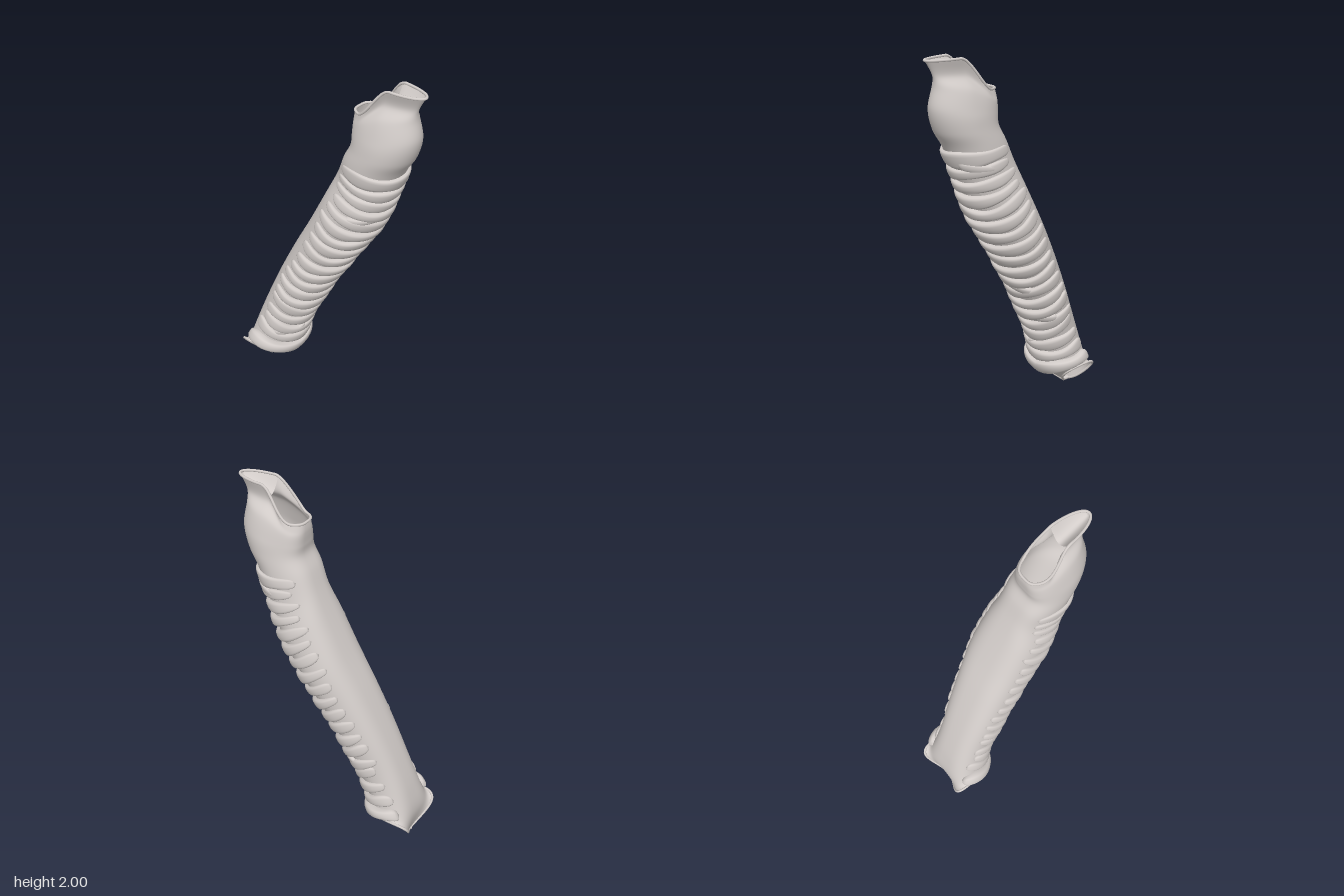
import * as THREE from 'three';
import { mergeVertices } from 'three/addons/utils/BufferGeometryUtils.js';

// Cross-sections from top to bottom:
// front z, front y, back z, back y, right x, left x, front pinch, side lift, step, z swing
const SECTIONS = [
  [0.528, 1.991, 0.142, 1.825, -0.055, 0.13, 0.32, 0, 1, 0],
  [0.49, 1.92, 0.137, 1.79, -0.06, 0.14, 0.5, 0, 0.8, 0],
  [0.483, 1.86, 0.137, 1.76, -0.073, 0.155, 0.12, 0, 0.5, 0],
  [0.5, 1.75, 0.14, 1.71, -0.092, 0.17, 0, 0, 0, 0],
  [0.47, 1.64, 0.14, 1.65, -0.105, 0.18, 0, 0, 0, 0],
  [0.41, 1.54, 0.1, 1.57, -0.108, 0.187, 0, 0, 0, 0],
  [0.335, 1.36, 0.055, 1.46, -0.1, 0.195, 0, 0, 0, 0],
  [0.25, 1.17, -0.01, 1.32, -0.128, 0.22, 0, 0, 0, 0],
  [0.13, 0.97, -0.11, 1.12, -0.137, 0.225, 0, 0, 0, 0],
  [0.01, 0.78, -0.215, 0.92, -0.143, 0.197, 0, 0, 0, 0],
  [-0.11, 0.56, -0.32, 0.7, -0.152, 0.165, 0, 0, 0, 0],
  [-0.2, 0.36, -0.41, 0.49, -0.16, 0.137, 0, 0, 0, 0],
  [-0.25, 0.22, -0.475, 0.31, -0.18, 0.133, 0, 0.01, 0, 0],
  [-0.285, 0.14, -0.505, 0.16, -0.2, 0.14, 0, 0.05, 0, 0.02],
  [-0.445, 0.008, -0.475, 0.013, -0.205, 0.14, 0, 0.165, 0, 0.1],
];
const LAST = SECTIONS.length - 1;
const { clamp, lerp, smoothstep } = THREE.MathUtils;

// Smoothly interpolated cross-section
function section(v) {
  v = clamp(v, 0, LAST);
  const i = Math.min(Math.floor(v), LAST - 1), t = v - i;
  const at = (k) => SECTIONS[clamp(k, 0, LAST)];
  return SECTIONS[0].map((_, n) => {
    const a = at(i - 1)[n], b = at(i)[n], c = at(i + 1)[n], d = at(i + 2)[n];
    return b + 0.5 * t * (c - a + t * (2 * a - 5 * b + 4 * c - d + t * (3 * (b - c) + d - a)));
  });
}

// Point of the tube wall; angle 0 is the front, positive towards +x, the back is flattened
function wall(v, angle) {
  const [zF, yF, zB, yB, xL, xR, pinch, lift, step, swing] = section(v);
  const c = Math.cos(angle), sn = Math.sin(angle), a = Math.abs(sn);
  const s = (1 - c) / 2;
  const side = c < 0 ? Math.pow(a, 0.62) : a;
  const width = 1 - pinch * (1 - smoothstep(s, 0.45, 0.8));
  return new THREE.Vector3(
    (xL + xR) / 2 + Math.sign(sn) * side * width * (xR - xL) / 2,
    lerp(yF, yB, lerp(s, smoothstep(s, 0.42, 0.88), step)) + lift * a,
    lerp(zF, zB, s) + swing * 2 * a * c * (0.75 + 0.25 * c));
}

function wallNormal(v, angle) {
  const e = 0.01;
  const dv = wall(v + e, angle).sub(wall(v - e, angle));
  const da = wall(v, angle + e).sub(wall(v, angle - e));
  return dv.cross(da).normalize();
}

// Smooth surface from a rule on a grid
function gridGeometry(rows, cols, rule) {
  const pos = [], idx = [];
  for (let i = 0; i <= rows; i++)
    for (let j = 0; j <= cols; j++) pos.push(...rule(i / rows, j / cols).toArray());
  for (let i = 0; i < rows; i++)
    for (let j = 0; j < cols; j++) {
      const a = i * (cols + 1) + j, b = a + cols + 1;
      idx.push(a, b, a + 1, a + 1, b, b + 1);
    }
  let g = new THREE.BufferGeometry();
  g.setAttribute('position', new THREE.Float32BufferAttribute(pos, 3));
  g.setIndex(idx);
  g = mergeVertices(g, 1e-5);
  g.computeVertexNormals();
  return g;
}

// Position along the tube where the front wall reaches a height
function findV(y) {
  let lo = 0, hi = LAST;
  for (let i = 0; i < 30; i++) {
    const m = (lo + hi) / 2;
    if (wall(m, 0).y > y) lo = m; else hi = m;
  }
  return lo;
}

// C-shaped flat band hugging the wall, thinner at its sides (by "thin"), with rounded ends
function bandGeometry({ y, half, thick, from, to, thin = 0.4, tilt = 0, wave = 0, phase = 0 }) {
  const v0 = findV(y);
  const perUnit = 0.04 / wall(v0 + 0.02, 0).distanceTo(wall(v0 - 0.02, 0));
  const power = (x, e) => Math.sign(x) * Math.pow(Math.abs(x), e);
  return gridGeometry(16, 56, (p, q) => {
    const angle = from + (to - from) * q, phi = p * Math.PI * 2;
    const taper = Math.sqrt(Math.max(0, 1 - Math.pow(Math.abs(q * 2 - 1), 9)));
    const shift = tilt * angle + wave * Math.sin(angle * 2.3 + phase);
    const h = half * taper * (1 + 0.15 * Math.sin(angle * 3 + phase));
    const v = v0 + (shift - h * power(Math.cos(phi), 0.7)) * perUnit;
    const relief = thick * taper * (1 - thin * Math.pow(Math.sin(angle / 2), 2) * 1.6);
    const out = 0.0015 + relief * Math.max(power(Math.sin(phi), 0.55), 0);
    return wall(v, angle).addScaledVector(wallNormal(v, angle), out);
  });
}

export function createModel() {
  const model = new THREE.Group();
  model.name = 'ringedTube';
  const material = new THREE.MeshStandardMaterial({ color: 0xd2ccc9, side: THREE.DoubleSide });
  material.name = 'warm grey';
  const add = (name, geometry, parent = model) => {
    const mesh = new THREE.Mesh(geometry, material);
    mesh.name = name;
    parent.add(mesh);
    return mesh;
  };

  // Main hollow tube with its spout at the top and forked opening at the bottom
  add('tubeWall', gridGeometry(112, 72, (p, q) => wall(p * LAST, (q * 2 - 1) * Math.PI)));

  // Grooved floor of the spout
  add('spoutGroove', gridGeometry(20, 16, (p, q) => {
    const a = p * 1.5;
    const point = wall(0, a).lerp(wall(0, -a), q);
    point.y -= 0.05 * a * Math.sin(Math.PI * q);
    return point;
  }));

  // Rounded lips around both openings
  for (const [name, v] of [['topLip', 0], ['bottomLip', LAST]]) {
    const pts = [];
    for (let i = 0; i < 48; i++) pts.push(wall(v, (i / 48) * Math.PI * 2));
    add(name, new THREE.TubeGeometry(new THREE.CatmullRomCurve3(pts, true), 120, 0.007, 8, true));
  }

  // Narrow bridge between the two bottom openings
  const bridge = add('bottomBridge', new THREE.CapsuleGeometry(0.011, 0.03, 4, 10));
  bridge.rotation.x = Math.PI / 2;
  bridge.position.set(-0.032, 0.012, -0.46);

  // Stack of slightly irregular rings
  let seed = 7;
  const rand = () => (seed = (seed * 16807) % 2147483647) / 2147483647;
  const rings = new THREE.Group();
  rings.name = 'rings';
  model.add(rings);
  add('topRing', bandGeometry({ y: 1.5, half: 0.046, thick: 0.022, from: -2.35, to: 2.35 }), rings);
  for (let i = 0; i < 17; i++) {
    add('ring', bandGeometry({
      y: 1.42 - i * 0.0735, half: 0.031, thick: 0.025 + rand() * 0.008,
      from: -2 - rand() * 0.35, to: 2 + rand() * 0.35,
      tilt: (rand() - 0.5) * 0.014, wave: (rand() - 0.5) * 0.016, phase: rand() * 6,
    }), rings);
  }
  // Short slanted links where neighbouring rings join
  for (const [y, mid, tilt] of [[1.45, 0.9, 0.05], [1.24, -0.7, -0.06], [0.73, 0.2, 0.07], [0.51, 0.7, 0.06], [0.3, -0.6, -0.06]]) {
    add('ringLink', bandGeometry({
      y: y + tilt * mid, half: 0.022, thick: 0.026, from: mid - 0.6, to: mid + 0.6, tilt,
    }), rings);
  }
  // Flared last ring
  add('bottomRing', bandGeometry({ y: 0.168, half: 0.036, thick: 0.042, thin: 0.1, from: -2.35, to: 2.35 }), rings);
  return model;
}
